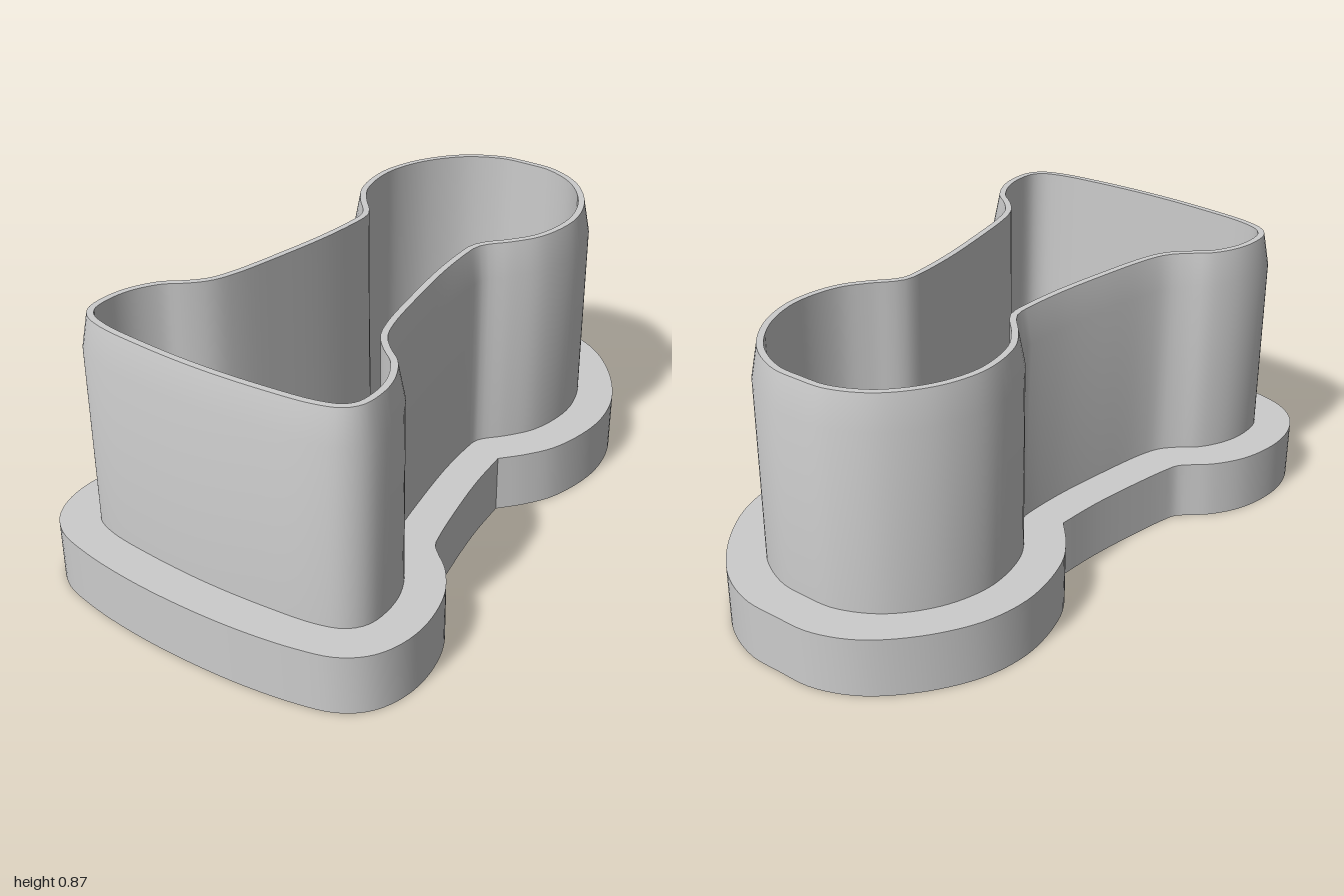
import * as THREE from 'three';
import { toCreasedNormals } from 'three/addons/utils/BufferGeometryUtils.js';

const FLANGE_TOP = 0.19, TAPER_START = 0.76, TOP = 0.865;
const WALL = 0.04, TAPER = 0.02, CREASE = 0.5;

// Right half of the wall outline as [x, z], from back centre to front centre
const wallHalf = [
  [0, -0.88], [0.1, -0.873], [0.225, -0.81], [0.325, -0.69], [0.373, -0.56], [0.377, -0.46],
  [0.35, -0.345], [0.295, -0.26], [0.246, -0.205], [0.232, -0.18], [0.23, -0.145], [0.24, 0],
  [0.27, 0.19], [0.305, 0.36], [0.33, 0.425], [0.37, 0.47], [0.428, 0.52], [0.478, 0.61],
  [0.494, 0.7], [0.484, 0.775], [0.445, 0.823], [0.37, 0.852], [0.2, 0.872], [0, 0.88],
];
// Flange outline halves, meeting at a sharp corner at the neck
const flangeHead = [
  [0, -1], [0.12, -0.995], [0.25, -0.94], [0.375, -0.82], [0.465, -0.67], [0.497, -0.54],
  [0.495, -0.43], [0.46, -0.29], [0.405, -0.2], [0.345, -0.13],
];
const flangeFoot = [
  [0.345, -0.13], [0.36, 0.02], [0.39, 0.19], [0.42, 0.325], [0.435, 0.37], [0.465, 0.4],
  [0.52, 0.45], [0.582, 0.55], [0.612, 0.69], [0.6, 0.8], [0.56, 0.88],
  [0.49, 0.935], [0.38, 0.967], [0.2, 0.992], [0, 1],
];

const mirror = (pts) => pts.map(([x, z]) => [-x, z]).reverse();

function smooth(pts, count, closed = false) {
  const curve = new THREE.CatmullRomCurve3(pts.map(([x, z]) => new THREE.Vector3(x, 0, z)), closed);
  return curve.getSpacedPoints(count).slice(0, -1).map((p) => [p.x, p.z]);
}

// Moves a closed loop inwards by a fixed distance
function inset(loop, distance) {
  const n = loop.length;
  return loop.map(([x, z], i) => {
    const a = loop[(i + n - 1) % n], b = loop[(i + 1) % n];
    const dx = b[0] - a[0], dz = b[1] - a[1], len = Math.hypot(dx, dz);
    return [x - (dz / len) * distance, z + (dx / len) * distance];
  });
}

// Joins successive [loop, height] rings with quads
function skin(rings) {
  const n = rings[0][0].length, position = [], index = [];
  for (const [loop, y] of rings) for (const [x, z] of loop) position.push(x, y, z);
  for (let r = 0; r < rings.length - 1; r++) {
    for (let i = 0; i < n; i++) {
      const a = r * n + i, b = r * n + ((i + 1) % n);
      index.push(a, a + n, b, b, a + n, b + n);
    }
  }
  const geometry = new THREE.BufferGeometry();
  geometry.setAttribute('position', new THREE.Float32BufferAttribute(position, 3));
  geometry.setIndex(index);
  return toCreasedNormals(geometry, CREASE);
}

export function createModel() {
  const group = new THREE.Group();
  group.name = 'cookieCutter';
  const grey = new THREE.MeshStandardMaterial({ color: 0xcccccc });
  grey.name = 'grey plastic';

  const outer = smooth([...wallHalf, ...mirror(wallHalf).slice(1, -1)], 220, true);
  const inner = inset(outer, WALL);
  const rim = inset(outer, TAPER);

  // Cutting wall, tapered to a thin rim; its inside runs down to the base
  const wall = new THREE.Mesh(skin([
    [outer, FLANGE_TOP], [outer, TAPER_START], [rim, TOP], [inner, TOP], [inner, FLANGE_TOP],
  ]), grey);
  wall.name = 'cuttingWall';

  // Wide flange around the base, open in the middle
  const edge = [
    ...smooth([...mirror(flangeHead), ...flangeHead.slice(1)], 90),
    ...smooth([...flangeFoot, ...mirror(flangeFoot).slice(1)], 150),
  ];
  const toPoints = (loop) => loop.map(([x, z]) => new THREE.Vector2(x, -z));
  const shape = new THREE.Shape(toPoints(edge));
  // The hole runs against the outline so that its side faces the opening
  shape.holes.push(new THREE.Path(toPoints(inner).reverse()));
  const flangeGeometry = new THREE.ExtrudeGeometry(shape, { depth: FLANGE_TOP, bevelEnabled: false });
  flangeGeometry.rotateX(-Math.PI / 2);
  const flange = new THREE.Mesh(toCreasedNormals(flangeGeometry, CREASE), grey);
  flange.name = 'baseFlange';

  group.add(wall, flange);
  return group;
}
